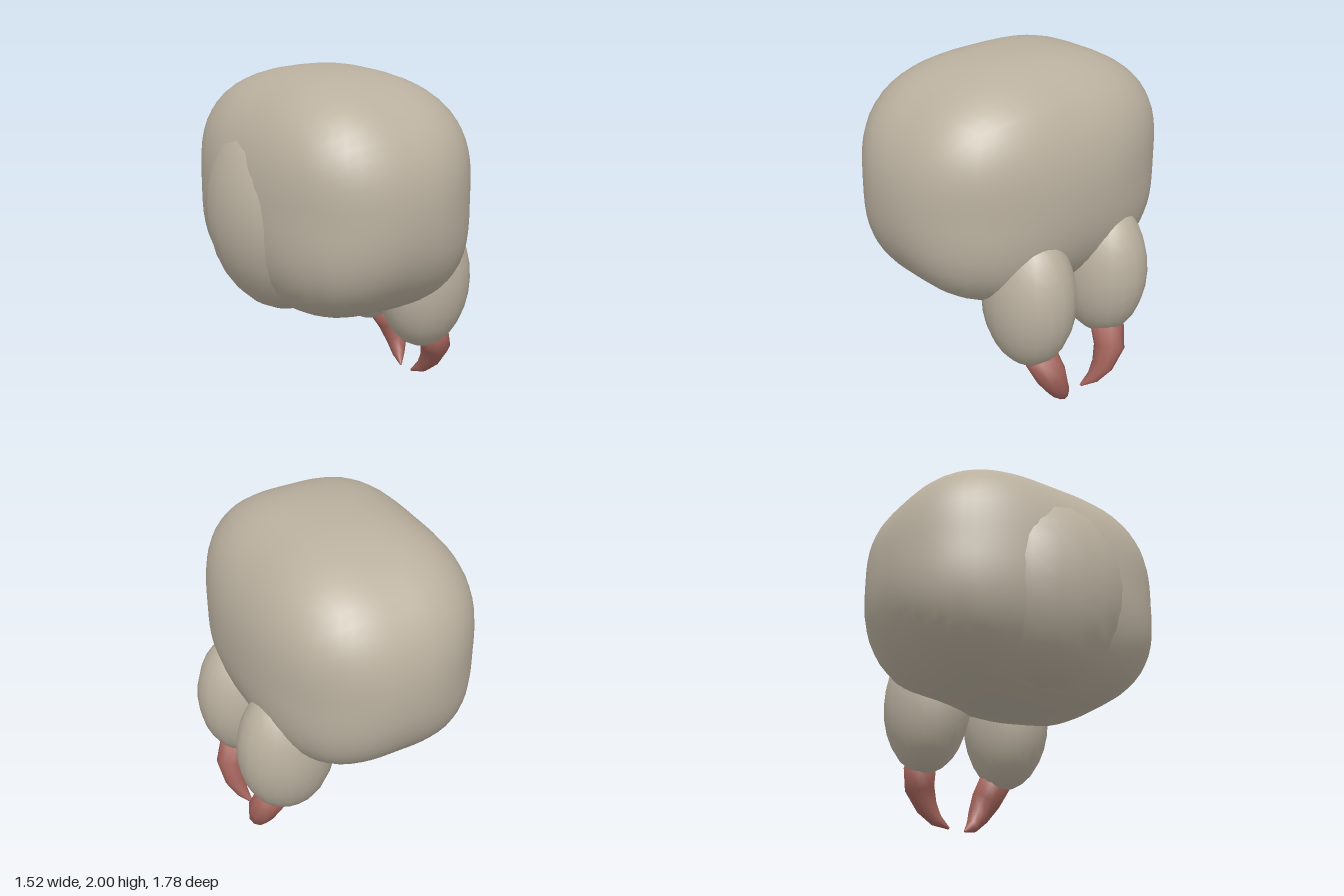
import * as THREE from 'three';
import { mergeVertices } from 'three/addons/utils/BufferGeometryUtils.js';

const beige = new THREE.MeshStandardMaterial({ color: 0xbab09f });
beige.name = 'beige skin';
const red = new THREE.MeshStandardMaterial({ color: 0xa2625a });
red.name = 'dull red claw';

function addMesh(parent, name, geometry, material) {
  const mesh = new THREE.Mesh(geometry, material);
  mesh.name = name;
  parent.add(mesh);
  return mesh;
}

// Pillow-like rounded block: a subdivided cube pushed onto a superellipsoid with full corners
function pillow(rx, ry, rz, power, bulge) {
  let g = new THREE.BoxGeometry(2, 2, 2, 16, 16, 16);
  g.deleteAttribute('uv');
  g.deleteAttribute('normal');
  g = mergeVertices(g);
  const pos = g.attributes.position;
  const d = new THREE.Vector3();
  for (let i = 0; i < pos.count; i++) {
    d.fromBufferAttribute(pos, i);
    // even out the angles between cube faces
    d.set(...d.toArray().map((c) => Math.tan(c * Math.PI / 4))).normalize();
    const sum = d.toArray().reduce((s, c) => s + Math.abs(c) ** power, 0);
    const corner = 27 * (d.x * d.y * d.z) ** 2;
    const r = sum ** (-1 / power) * (1 + bulge * corner);
    pos.setXYZ(i, d.x * r * rx, d.y * r * ry, d.z * r * rz);
  }
  g.computeVertexNormals();
  return g;
}

function ellipsoid(rx, ry, rz) {
  return new THREE.SphereGeometry(1, 20, 14).scale(rx, ry, rz);
}

// Tapered tube through rings of [x, y, z, radius], capped at both ends
function taperedTube(rings, sides) {
  const points = rings.map(([x, y, z]) => new THREE.Vector3(x, y, z));
  const last = rings.length - 1;
  const verts = [];
  const index = [];
  points.forEach((p, i) => {
    const t = points[Math.min(i + 1, last)].clone().sub(points[Math.max(i - 1, 0)]).normalize();
    const u = new THREE.Vector3(1, 0, 0).addScaledVector(t, -t.x).normalize();
    const v = t.clone().cross(u);
    for (let j = 0; j < sides; j++) {
      const a = (j / sides) * Math.PI * 2;
      const q = p.clone()
        .addScaledVector(u, Math.cos(a) * rings[i][3])
        .addScaledVector(v, Math.sin(a) * rings[i][3]);
      verts.push(q.x, q.y, q.z);
    }
  });
  const startCap = verts.length / 3;
  verts.push(...points[0].toArray(), ...points[last].toArray());
  for (let j = 0; j < sides; j++) {
    const k = (j + 1) % sides;
    for (let i = 0; i < last; i++) {
      const a = i * sides + j, b = i * sides + k;
      index.push(a, b, a + sides, b, b + sides, a + sides);
    }
    index.push(startCap, k, j, startCap + 1, last * sides + j, last * sides + k);
  }
  const g = new THREE.BufferGeometry();
  g.setAttribute('position', new THREE.Float32BufferAttribute(verts, 3));
  g.setIndex(index);
  g.computeVertexNormals();
  return g;
}

export function createModel() {
  const model = new THREE.Group();
  model.name = 'clawedCreature';

  // Main body
  addMesh(model, 'body', pillow(0.675, 0.71, 0.89, 2.35, 0.04), beige)
    .position.set(-0.015, 1.29, 0);

  // Hump showing through one side of the body
  addMesh(model, 'sideHump', ellipsoid(0.415, 0.59, 0.52), beige)
    .position.set(-0.35, 1.21, 0);

  // Pair of limbs, each an egg-shaped segment with an inward-curving claw
  for (const s of [1, -1]) {
    const limb = new THREE.Group();
    limb.name = s > 0 ? 'frontLimb' : 'backLimb';
    model.add(limb);
    addMesh(limb, 'limbSegment', ellipsoid(0.295, 0.43, 0.25), beige)
      .position.set(0.465, 0.72, s * 0.285);
    const path = [
      [0.555, 0.35, 0.268, 0.1],
      [0.61, 0.24, 0.235, 0.092],
      [0.612, 0.13, 0.18, 0.066],
      [0.59, 0.055, 0.125, 0.04],
      [0.558, 0.009, 0.055, 0.007],
    ].map(([x, y, z, r]) => [x, y, z * s, r]);
    addMesh(limb, 'claw', taperedTube(path, 10), red);
  }
  return model;
}
